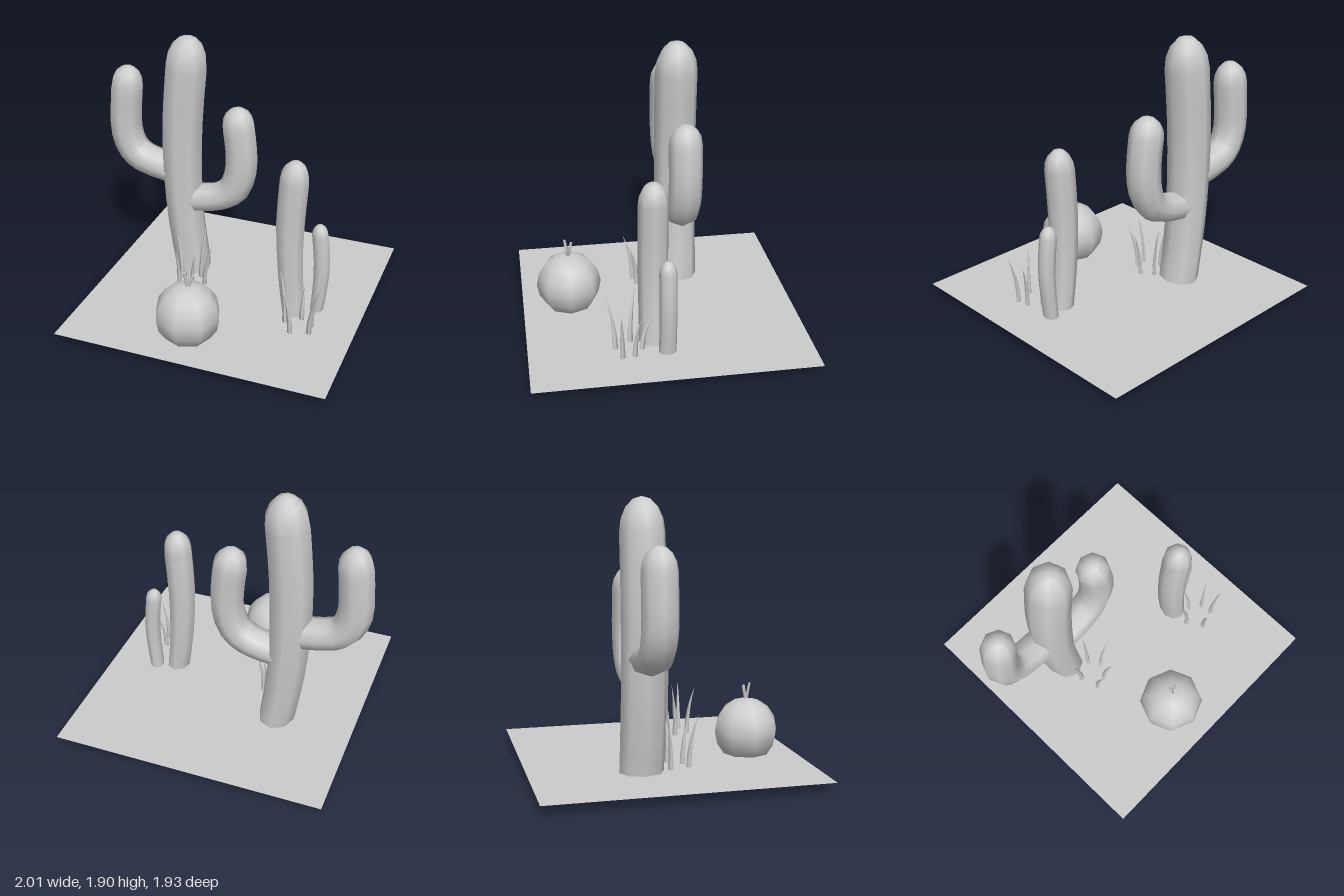
import * as THREE from 'three';

const SIDES = 8;
const material = new THREE.MeshStandardMaterial({ color: 0xcccccc, side: THREE.DoubleSide });

function addMesh(parent, name, geometry) {
  const mesh = new THREE.Mesh(geometry, material);
  mesh.name = name;
  parent.add(mesh);
  return mesh;
}

// Open-bottomed stem following a path in the xy plane, with a rounded tip.
// baseWidth narrows the in-plane radius towards the base.
function stemGeometry(path, z, radius, capLength, baseWidth) {
  const curve = new THREE.CatmullRomCurve3(path.map(([x, y]) => new THREE.Vector3(x, y, z)));
  const steps = (path.length - 1) * 2;
  const positions = [];
  const index = [];
  const addRing = (centre, tangent, rx, rz) => {
    for (let j = 0; j < SIDES; j++) {
      const a = (j / SIDES) * Math.PI * 2;
      const n = Math.cos(a) * rx;
      positions.push(centre.x + tangent.y * n, centre.y - tangent.x * n, centre.z + Math.sin(a) * rz);
    }
  };
  for (let i = 0; i <= steps; i++) {
    const t = i / steps;
    const width = baseWidth + (1 - baseWidth) * Math.min(1, t * 1.4);
    addRing(curve.getPoint(t), curve.getTangent(t), radius * width, radius);
  }
  // Rounded tip
  const end = curve.getPoint(1);
  const dir = curve.getTangent(1);
  for (const a of [Math.PI / 8, Math.PI / 4, Math.PI * 3 / 8]) {
    const r = radius * Math.cos(a);
    addRing(end.clone().addScaledVector(dir, capLength * Math.sin(a)), dir, r, r);
  }
  const pole = end.clone().addScaledVector(dir, capLength);
  positions.push(pole.x, pole.y, pole.z);

  const rings = steps + 4;
  for (let i = 0; i < rings; i++) {
    for (let j = 0; j < SIDES; j++) {
      const k = (j + 1) % SIDES;
      const a = i * SIDES + j;
      const b = i * SIDES + k;
      if (i === rings - 1) index.push(a, rings * SIDES, b);
      else index.push(a, a + SIDES, b, b, a + SIDES, b + SIDES);
    }
  }
  const geometry = new THREE.BufferGeometry();
  geometry.setAttribute('position', new THREE.Float32BufferAttribute(positions, 3));
  geometry.setIndex(index);
  geometry.computeVertexNormals();
  return geometry;
}

// Grass blade: a slim cone bent outwards from its base to its tip
function bladeGeometry([bx, bz, tx, tz, top]) {
  const height = top - 0.07;
  const geometry = new THREE.ConeGeometry(0.02, height, 4, 4, true);
  geometry.translate(0, height / 2, 0);
  const p = geometry.attributes.position;
  for (let i = 0; i < p.count; i++) {
    const t = p.getY(i) / height;
    // Fuller middle than a straight cone
    const swell = 1 + 0.5 * t;
    const bend = t * t;
    p.setXYZ(i, bx + p.getX(i) * swell + (tx - bx) * bend, 0.07 + p.getY(i),
      bz + p.getZ(i) * swell + (tz - bz) * bend);
  }
  geometry.computeVertexNormals();
  return geometry;
}

export function createModel() {
  const model = new THREE.Group();
  model.name = 'desertPlants';

  // Ground sheet
  const ground = addMesh(model, 'ground', new THREE.PlaneGeometry(1.935, 1.93));
  ground.rotation.x = -Math.PI / 2;
  ground.position.set(0.033, 0.07, 0);

  // Tall cactus with two upturned arms
  const tall = new THREE.Group();
  tall.name = 'tallCactus';
  model.add(tall);
  addMesh(tall, 'trunk', stemGeometry(
    [[-0.37, 0.04], [-0.43, 0.48], [-0.45, 0.85], [-0.445, 1.27], [-0.41, 1.67]], -0.205, 0.154, 0.235, 0.82));
  addMesh(tall, 'rightArm', stemGeometry(
    [[-0.45, 0.85], [-0.57, 0.872], [-0.755, 0.915], [-0.842, 0.985], [-0.888, 1.115], [-0.887, 1.28], [-0.872, 1.46]],
    -0.207, 0.12, 0.16, 0.88));
  addMesh(tall, 'leftArm', stemGeometry(
    [[-0.4, 0.655], [-0.27, 0.675], [-0.145, 0.71], [-0.05, 0.79], [0, 0.955], [-0.002, 1.13], [-0.02, 1.28]],
    -0.205, 0.12, 0.145, 0.82));

  // Two armless cacti
  addMesh(model, 'middleCactus', stemGeometry(
    [[0.52, 0.04], [0.483, 0.38], [0.472, 0.75], [0.492, 1.1]], 0.1, 0.103, 0.15, 0.8));
  addMesh(model, 'smallCactus', stemGeometry(
    [[0.662, 0.038], [0.683, 0.25], [0.69, 0.45], [0.67, 0.67]], 0.03, 0.06, 0.09, 0.78));

  // Round cactus with three flower buds
  const round = new THREE.Group();
  round.name = 'roundCactus';
  model.add(round);
  addMesh(round, 'ball', new THREE.SphereGeometry(0.231, 8, 8)).position.set(-0.075, 0.234, 0.63);
  const buds = [[-0.085, 0.575, 0.65], [-0.03, 0.55, 0.625], [-0.08, 0.555, 0.603]];
  for (const tip of buds) {
    const end = new THREE.Vector3(...tip);
    const start = new THREE.Vector3(-0.07, 0.44, 0.63);
    const direction = end.clone().sub(start);
    const bud = addMesh(round, 'bud', new THREE.CylinderGeometry(0.009, 0.011, direction.length(), 6));
    bud.position.copy(start).lerp(end, 0.5);
    bud.quaternion.setFromUnitVectors(new THREE.Vector3(0, 1, 0), direction.normalize());
  }

  // Grass tufts: base x, base z, tip x, tip z, tip height
  const tufts = {
    rearGrass: [
      [-0.385, -0.005, -0.44, -0.04, 0.44], [-0.26, -0.065, -0.24, -0.13, 0.475],
      [-0.2, 0.018, -0.13, 0.02, 0.42], [-0.35, 0.13, -0.35, 0.2, 0.44], [-0.26, 0.11, -0.215, 0.165, 0.4],
    ],
    frontGrass: [
      [0.505, 0.265, 0.445, 0.22, 0.475], [0.69, 0.255, 0.75, 0.215, 0.4],
      [0.7, 0.34, 0.77, 0.355, 0.435], [0.575, 0.375, 0.525, 0.425, 0.44], [0.605, 0.195, 0.605, 0.12, 0.325],
    ],
  };
  for (const [name, blades] of Object.entries(tufts)) {
    const tuft = new THREE.Group();
    tuft.name = name;
    model.add(tuft);
    for (const blade of blades) addMesh(tuft, 'blade', bladeGeometry(blade));
  }
  return model;
}
